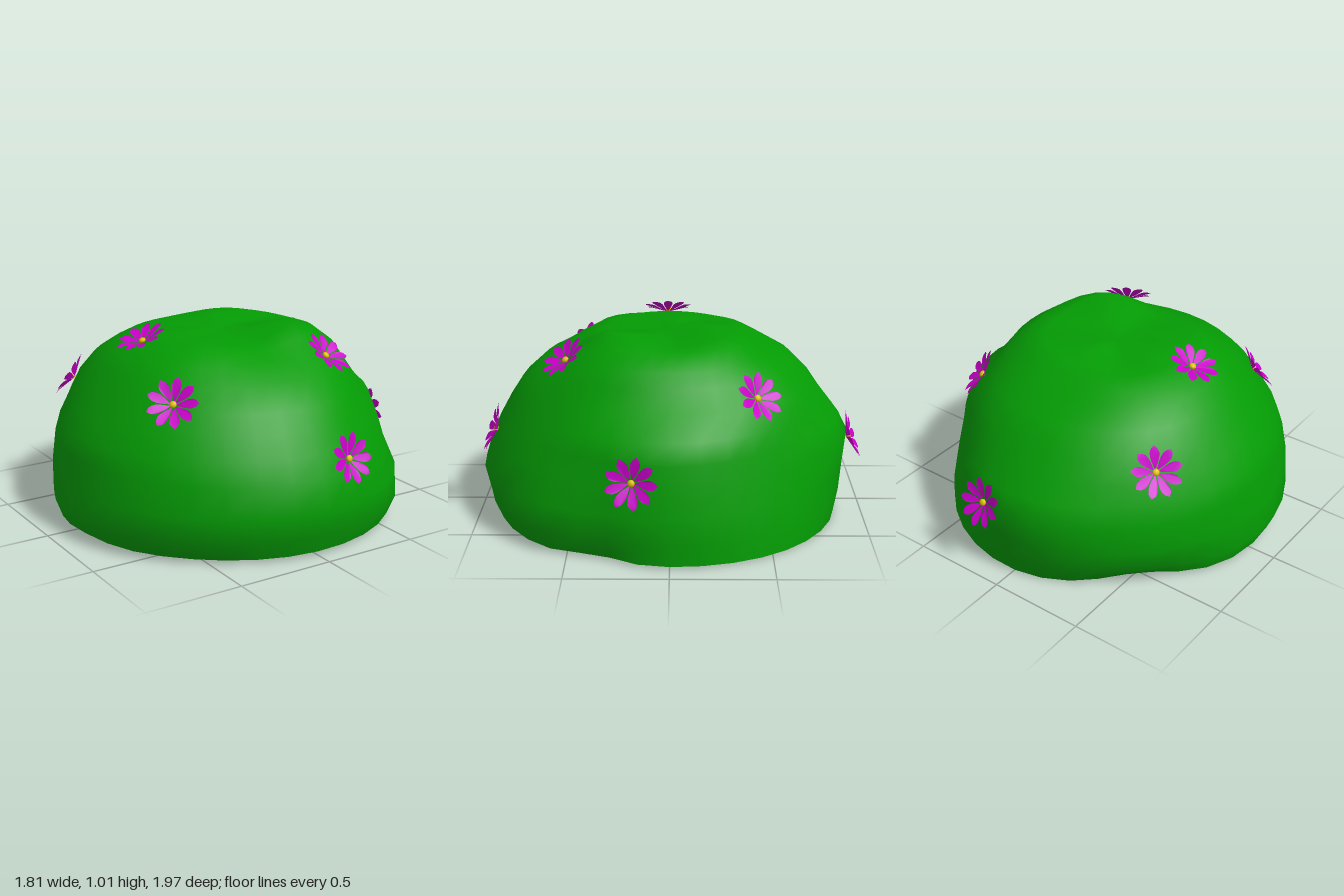
import * as THREE from 'three';

const green = new THREE.MeshStandardMaterial({ color: 0x049c04, side: THREE.DoubleSide });
const magenta = new THREE.MeshStandardMaterial({ color: 0xcc00cc, side: THREE.DoubleSide });
const yellow = new THREE.MeshStandardMaterial({ color: 0xe0c000 });

// Shrub outline: radii at fixed heights, for eight directions from +x towards +z
const LEVELS = [0.02, 0.12, 0.25, 0.4, 0.5, 0.6, 0.7, 0.8, 0.87];
const RADII = [
  [0.89, 0.9, 0.9, 0.865, 0.855, 0.82, 0.69, 0.615, 0.57],
  [0.92, 0.96, 0.95, 0.88, 0.845, 0.79, 0.73, 0.66, 0.6],
  [0.91, 0.95, 0.985, 0.94, 0.89, 0.835, 0.77, 0.66, 0.51],
  [0.86, 0.92, 0.925, 0.895, 0.86, 0.8, 0.735, 0.65, 0.56],
  [0.875, 0.905, 0.88, 0.86, 0.83, 0.765, 0.7, 0.62, 0.55],
  [0.77, 0.84, 0.875, 0.86, 0.83, 0.785, 0.735, 0.65, 0.55],
  [0.86, 0.89, 0.91, 0.93, 0.88, 0.8, 0.73, 0.63, 0.48],
  [0.885, 0.88, 0.855, 0.825, 0.8, 0.765, 0.715, 0.63, 0.55],
];
// Heights of the lumpy crown at shrinking fractions of the top radius
const CROWN = [0.82, 0.66, 0.3];
const CROWN_Y = [
  [0.935, 0.945, 0.945], [0.955, 1.0, 0.955], [0.91, 0.93, 0.94], [0.93, 0.945, 0.94],
  [0.92, 0.95, 0.955], [0.92, 0.945, 0.945], [0.93, 0.955, 0.98], [0.94, 0.965, 0.965],
];

// Smooth periodic interpolation between the eight directions
function around(table, row, angle) {
  const f = (angle / (Math.PI * 2)) * 8;
  const i = Math.floor(f), t = f - i;
  const [a, b, c, d] = [-1, 0, 1, 2].map((k) => table[(i + k + 8) % 8][row]);
  return b + 0.5 * t * (c - a + t * (2 * a - 5 * b + 4 * c - d + t * (3 * (b - c) + d - a)));
}

const bump = (angle, middle, width) => Math.exp(-(((angle - middle) / width) ** 2));

function makeShrub() {
  const segments = 36, last = LEVELS.length - 1;
  const rows = LEVELS.length + CROWN.length;
  const positions = [], index = [];
  for (let row = 0; row < rows; row++) {
    for (let s = 0; s < segments; s++) {
      const angle = (s / segments) * Math.PI * 2;
      let r, y;
      if (row <= last) {
        // hollow low on the front left side, fading out upwards
        const hollow = 0.07 * Math.max(0, 1 - LEVELS[row] / 0.6) * bump(angle, 0.42, 0.2);
        r = around(RADII, row, angle) - hollow;
        y = LEVELS[row];
        // rim dips at the back and lifts a little on the right side
        if (row === 0) {
          y += 0.01 * Math.sin(angle) - 0.01;
          y += 0.03 * bump(angle, 3.05, 0.3) + 0.04 * bump(angle, 3.93, 0.3);
        }
      } else {
        r = around(RADII, last, angle) * CROWN[row - last - 1];
        y = around(CROWN_Y, row - last - 1, angle);
      }
      positions.push(r * Math.cos(angle), y, r * Math.sin(angle));
    }
  }
  const tip = rows * segments;
  positions.push(0, 0.94, 0);
  for (let row = 0; row < rows; row++) {
    for (let s = 0; s < segments; s++) {
      const a = row * segments + s;
      const b = row * segments + ((s + 1) % segments);
      if (row === rows - 1) index.push(a, tip, b);
      else index.push(a, a + segments, b, b, a + segments, b + segments);
    }
  }
  const geometry = new THREE.BufferGeometry();
  geometry.setAttribute('position', new THREE.Float32BufferAttribute(positions, 3));
  geometry.setIndex(index);
  geometry.computeVertexNormals();
  const mesh = new THREE.Mesh(geometry, green);
  mesh.name = 'shrub';
  return mesh;
}

// Leaf-shaped petal along +x, rising towards its tip and cupped across
function makePetalGeometry() {
  const shape = new THREE.Shape();
  shape.moveTo(0.01, 0);
  shape.bezierCurveTo(0.05, 0.014, 0.1, 0.046, 0.13, 0);
  shape.bezierCurveTo(0.1, -0.046, 0.05, -0.014, 0.01, 0);
  const geometry = new THREE.ShapeGeometry(shape, 6);
  geometry.rotateX(-Math.PI / 2);
  const p = geometry.attributes.position;
  for (let i = 0; i < p.count; i++) {
    const x = p.getX(i), z = p.getZ(i);
    p.setY(i, 0.28 * x + 12 * z * z);
  }
  geometry.computeVertexNormals();
  return geometry;
}

const petalGeometry = makePetalGeometry();
const centreGeometry = new THREE.SphereGeometry(0.018, 12, 8);

function makeFlower(spin) {
  const flower = new THREE.Group();
  flower.name = 'flower';
  const count = 9;
  for (let i = 0; i < count; i++) {
    const petal = new THREE.Mesh(petalGeometry, magenta);
    petal.name = 'petal';
    petal.rotation.y = spin + (i / count) * Math.PI * 2;
    flower.add(petal);
  }
  const centre = new THREE.Mesh(centreGeometry, yellow);
  centre.name = 'flowerCentre';
  centre.scale.y = 0.7;
  centre.position.y = 0.012;
  flower.add(centre);
  return flower;
}

// Each flower: position, then facing direction
const FLOWERS = [
  [[0.18, 0.46, 0.91], [0.15, 0.35, 0.92]],
  [[0.31, 0.86, 0.52], [0.3, 0.75, 0.55]],
  [[-0.54, 0.73, 0.47], [-0.55, 0.55, 0.6]],
  [[0.86, 0.42, 0.18], [0.97, 0.2, 0.12]],
  [[0.55, 0.74, -0.42], [0.6, 0.55, -0.5]],
  [[0.13, 0.41, -0.93], [0.1, 0.35, -0.93]],
  [[-0.595, 0.65, -0.49], [-0.6, 0.5, -0.5]],
  [[-0.45, 0.93, 0.02], [-0.4, 0.92, 0]],
];

export function createModel() {
  const model = new THREE.Group();
  model.name = 'floweringShrub';
  const shrub = makeShrub();
  model.add(shrub);

  // Rest every flower on the shrub's skin
  const up = new THREE.Vector3(0, 1, 0);
  FLOWERS.forEach(([place, facing], i) => {
    const point = new THREE.Vector3(...place);
    const normal = new THREE.Vector3(...facing).normalize();
    const start = point.clone().addScaledVector(normal, 0.3);
    const hit = new THREE.Raycaster(start, normal.clone().negate(), 0, 0.6).intersectObject(shrub)[0];
    const flower = makeFlower(i * 0.7);
    flower.position.copy(hit ? hit.point : point).addScaledVector(normal, 0.004);
    flower.quaternion.setFromUnitVectors(up, normal);
    model.add(flower);
  });
  return model;
}
